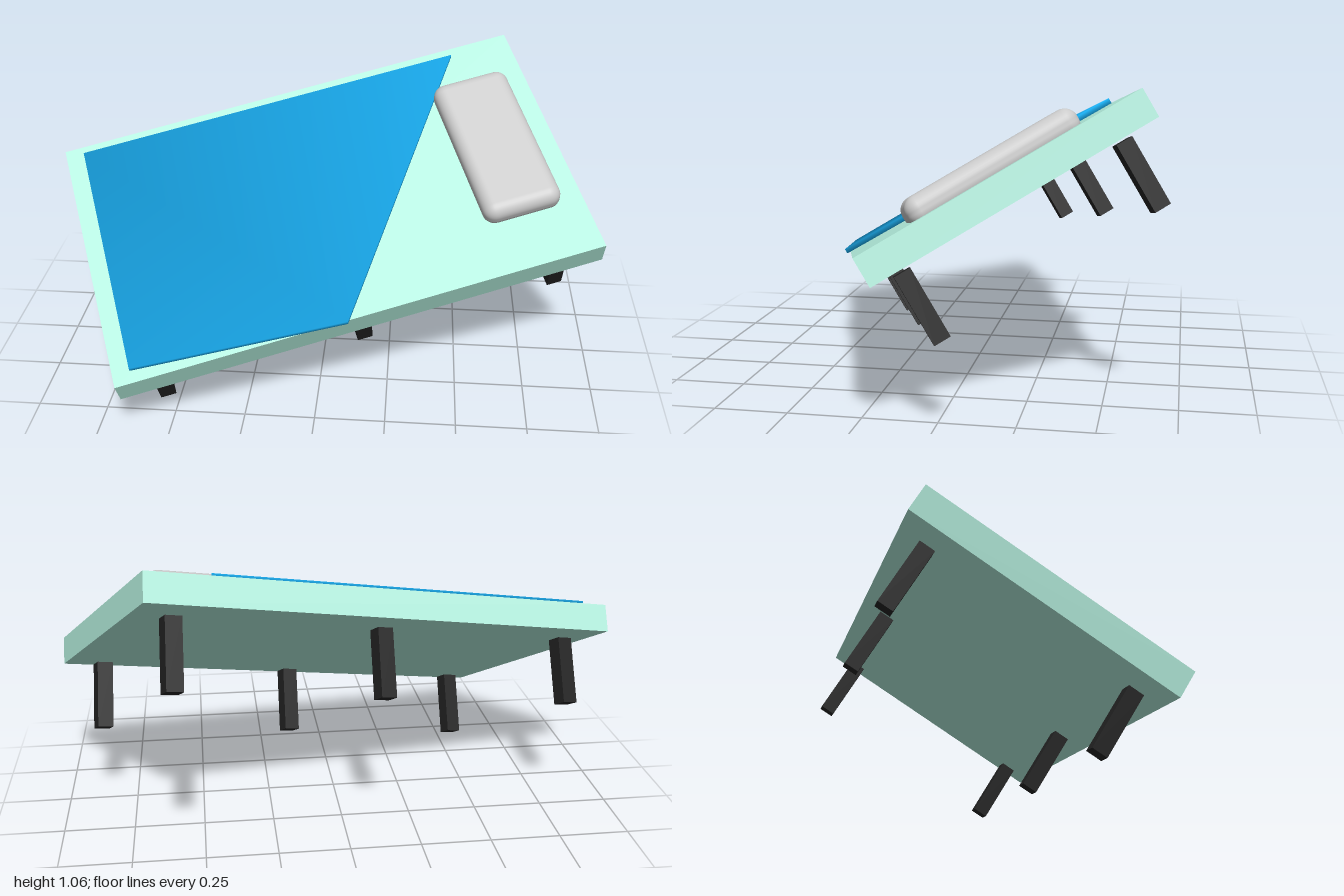
import * as THREE from 'three';
import { RoundedBoxGeometry } from 'three/addons/geometries/RoundedBoxGeometry.js';

const mat = (color) => new THREE.MeshStandardMaterial({ color });

function add(parent, name, geometry, material, x = 0, y = 0, z = 0) {
  const mesh = new THREE.Mesh(geometry, material);
  mesh.name = name;
  mesh.position.set(x, y, z);
  parent.add(mesh);
  return mesh;
}

// Thin four-sided sheet with shared corners and softened normals.
// corners: [x, z] going back left, back right, front right, front left
function sheetGeometry(corners, bottom, top) {
  const positions = [], normals = [], index = [0, 3, 2, 0, 2, 1, 4, 6, 7, 4, 5, 6];
  const sideNormal = (i) => {
    const a = corners[i % 4], b = corners[(i + 1) % 4];
    return new THREE.Vector3(b[1] - a[1], 0, a[0] - b[0]).normalize();
  };
  for (const [y, up] of [[top, 1], [bottom, -1]]) {
    corners.forEach(([x, z], i) => {
      positions.push(x, y, z);
      const n = sideNormal(i).add(sideNormal(i + 3));
      n.y = up;
      normals.push(...n.normalize().toArray());
    });
  }
  for (let i = 0; i < 4; i++) {
    const j = (i + 1) % 4;
    index.push(i, j, j + 4, i, j + 4, i + 4);
  }
  const g = new THREE.BufferGeometry();
  g.setAttribute('position', new THREE.Float32BufferAttribute(positions, 3));
  g.setAttribute('normal', new THREE.Float32BufferAttribute(normals, 3));
  g.setIndex(index);
  return g;
}

export function createModel() {
  const model = new THREE.Group();
  model.name = 'tiltedBed';

  // Bed frame: origin at the middle of the mattress top, tilted and turned
  const bed = new THREE.Group();
  bed.name = 'bed';
  const along = new THREE.Vector3(0.938, 0.19, -0.291).normalize();
  const up = new THREE.Vector3(-0.015, 0.857, 0.515);
  const across = along.clone().cross(up).normalize();
  up.crossVectors(across, along);
  bed.quaternion.setFromRotationMatrix(new THREE.Matrix4().makeBasis(along, up, across));
  bed.position.set(0, 0.66, 0.047);
  model.add(bed);

  // Mattress
  add(bed, 'mattress', new THREE.BoxGeometry(1.76, 0.1, 1), mat(0xb5f0df), 0, -0.05, 0);

  // Six legs, set slightly below the mattress
  const legGeometry = new THREE.BoxGeometry(0.057, 0.24, 0.057);
  const legMaterial = mat(0x222222);
  for (const x of [-0.74, 0.012, 0.76])
    for (const z of [-0.395, 0.395]) add(bed, 'leg', legGeometry, legMaterial, x, -0.234, z);

  // Blanket with a slanted folded-back edge
  const blanket = [[-0.812, -0.459], [0.644, -0.457], [-0.067, 0.513], [-0.818, 0.455]];
  add(bed, 'blanket', sheetGeometry(blanket, 0.002, 0.02), mat(0x1ab0f5));

  // Pillow
  add(bed, 'pillow', new RoundedBoxGeometry(0.29, 0.1, 0.61, 5, 0.045), mat(0xcccccc), 0.657, 0.02, -0.007);

  return model;
}
